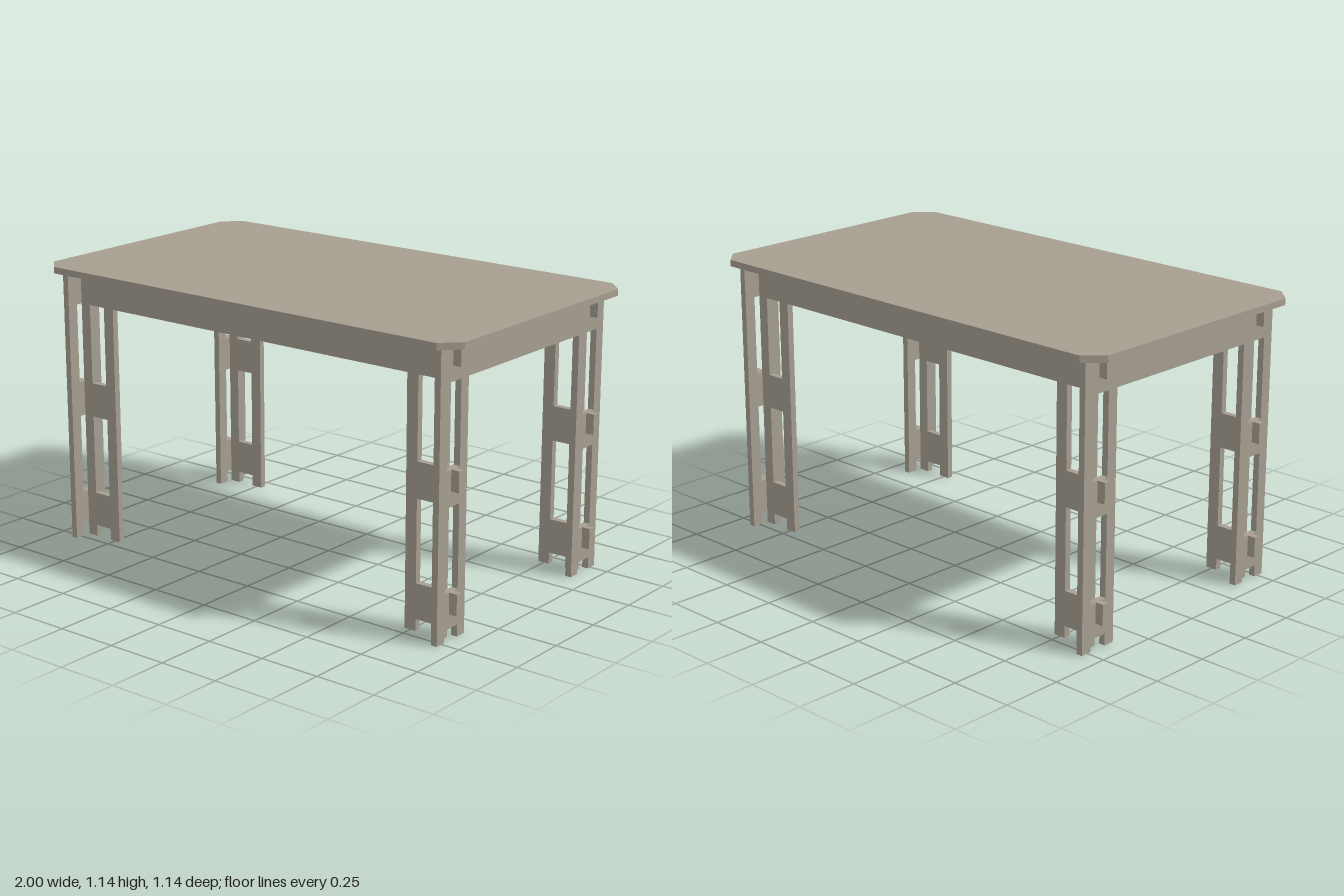
import * as THREE from 'three';

const T = 0.026;       // board thickness
const TOP = 1.113;     // underside of the table top
const APRON = 0.975;   // lower edge of the aprons

function outline(pts) {
  return pts.map(([x, y]) => new THREE.Vector2(x, y));
}

// Slotted panel: apron with a leg at each end, windows in the legs, optional edge tabs
function panelGeometry(outer, inner, holeOut, holeIn, tabs, tabReach) {
  // right half, from the apron's middle opening round to the top corner
  const half = [[inner, APRON], [inner, 0], [holeIn, 0], [holeIn, 0.047], [holeOut, 0.047], [holeOut, 0], [outer, 0]];
  for (const [a, b] of tabs) {
    half.push([outer, a], [tabReach, a], [tabReach, b], [outer, b]);
  }
  if (!tabs.length) half.push([outer, TOP]);
  const mirrored = half.map(([x, y]) => [-x, y]).reverse();
  const shape = new THREE.Shape(outline([...half, ...mirrored]));
  for (const s of [-1, 1]) {
    for (const [a, b] of [[0.187, 0.512], [0.652, APRON]]) {
      shape.holes.push(new THREE.Path(outline([
        [s * holeIn, a], [s * holeOut, a], [s * holeOut, b], [s * holeIn, b],
      ])));
    }
  }
  const geo = new THREE.ExtrudeGeometry(shape, { depth: T, bevelEnabled: false });
  return geo.translate(0, 0, -T / 2);
}

export function createModel() {
  const group = new THREE.Group();
  group.name = 'table';
  const board = new THREE.MeshStandardMaterial({ color: 0xa69e90 });
  board.name = 'grey beige board';

  const add = (name, geo, x = 0, z = 0) => {
    const mesh = new THREE.Mesh(geo, board);
    mesh.name = name;
    mesh.position.set(x, 0, z);
    group.add(mesh);
    return mesh;
  };

  // Table top with clipped corners
  const X = 1, Z = 0.57, C = 0.07;
  const topShape = new THREE.Shape(outline([
    [X, Z - C], [X - C, Z], [C - X, Z], [-X, Z - C],
    [-X, C - Z], [C - X, -Z], [X - C, -Z], [X, C - Z],
  ]));
  const topGeo = new THREE.ExtrudeGeometry(topShape, { depth: T, bevelEnabled: false });
  topGeo.rotateX(-Math.PI / 2).translate(0, TOP, 0);
  add('tableTop', topGeo);

  // Long panels, whose tabs pass through the end panels
  const tabs = [[0.103, 0.187], [0.57, 0.652], [1.033, TOP]];
  const longGeo = panelGeometry(0.896, 0.724, 0.85, 0.773, tabs, 0.956);
  add('frontPanel', longGeo, 0, 0.444);
  add('backPanel', longGeo, 0, -0.444);

  // End panels
  const endGeo = panelGeometry(0.529, 0.36, 0.483, 0.405, [], 0).rotateY(Math.PI / 2);
  add('leftPanel', endGeo, 0.909);
  add('rightPanel', endGeo, -0.909);

  return group;
}
